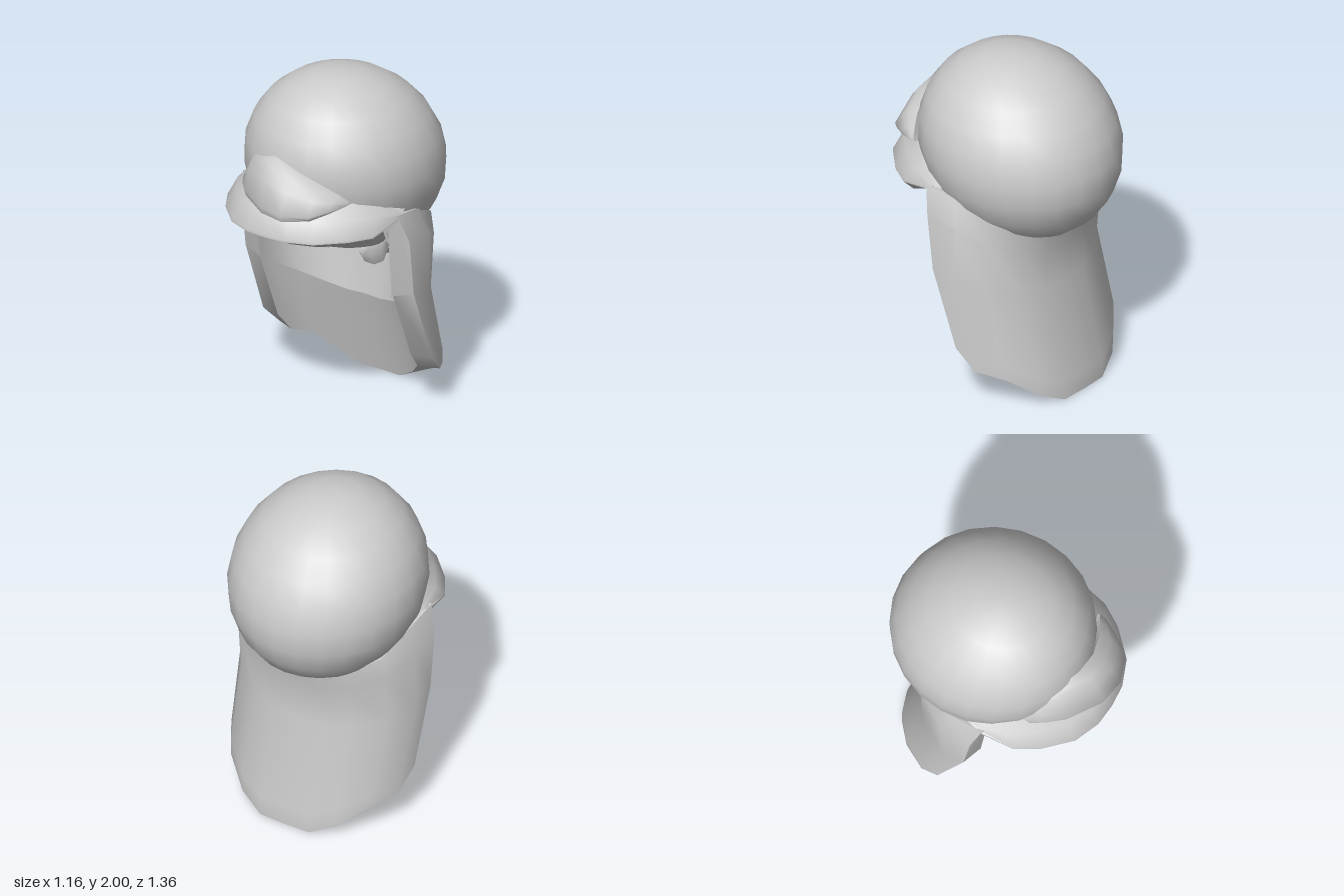
import * as THREE from 'three';
import { toCreasedNormals } from 'three/addons/utils/BufferGeometryUtils.js';

const material = new THREE.MeshStandardMaterial({ color: 0xcccccc, side: THREE.DoubleSide });

// Skin a row of closed rings, cap both ends, and wind the faces outward
function loft(name, rings, crease = 0.75) {
  const n = rings[0].length, pos = rings.flat(2), tris = [];
  for (let i = 0; i < rings.length - 1; i++) {
    for (let j = 0; j < n; j++) {
      const a = i * n + j, b = i * n + (j + 1) % n;
      tris.push([a, b, a + n], [b, b + n, a + n]);
    }
  }
  for (const i of [0, rings.length - 1]) {
    const flat = rings[i].map(p => new THREE.Vector2(p[2], p[1]));
    const flip = (i === 0) !== THREE.ShapeUtils.isClockWise(flat);
    for (const t of THREE.ShapeUtils.triangulateShape(flat, [])) {
      const [a, b, c] = t.map(k => k + i * n);
      tris.push(flip ? [a, c, b] : [a, b, c]);
    }
  }
  const v = i => new THREE.Vector3().fromArray(pos, i * 3);
  const volume = tris.reduce((s, [a, b, c]) => s + v(a).dot(v(b).cross(v(c))), 0);
  const geo = new THREE.BufferGeometry();
  geo.setAttribute('position', new THREE.Float32BufferAttribute(pos, 3));
  geo.setIndex(tris.flatMap(([a, b, c]) => volume < 0 ? [a, c, b] : [a, b, c]));
  const mesh = new THREE.Mesh(toCreasedNormals(geo, crease), material);
  mesh.name = name;
  return mesh;
}

// Half the rings run from the centre to +x; add the mirrored ones
const mirror = half => [
  ...half.slice(1).reverse().map(r => r.map(([x, y, z]) => [-x, y, z])),
  ...half,
];

// Slightly forward-leaning ellipsoid crown
function crown() {
  const lean = 0.12, rz = 0.592, ry = 0.545;
  const geo = new THREE.SphereGeometry(1, 24, 12);
  geo.applyMatrix4(new THREE.Matrix4().set(
    0.558, 0, 0, 0,
    0, ry, 0, 1.455,
    0, rz * lean, rz * Math.sqrt(1 - lean * lean), -0.09,
    0, 0, 0, 1));
  const mesh = new THREE.Mesh(geo, material);
  mesh.name = 'crown';
  return mesh;
}

// Thick neck flap: four outer levels per column, from back centre to front edge
function neckFlap() {
  const columns = [
    [[0, 1.03, -0.46], [0, 0.9, -0.43], [0, 0.66, -0.42], [0, 0, -0.56]],
    [[0.16, 1.04, -0.45], [0.16, 0.9, -0.425], [0.16, 0.66, -0.41], [0.16, 0, -0.555]],
    [[0.3, 1.07, -0.4], [0.31, 0.95, -0.38], [0.31, 0.68, -0.36], [0.31, 0.07, -0.5]],
    [[0.46, 1.16, -0.27], [0.48, 1.03, -0.27], [0.48, 0.71, -0.24], [0.46, 0.19, -0.38]],
    [[0.52, 1.27, -0.05], [0.575, 1.12, -0.09], [0.575, 0.76, -0.08], [0.55, 0.23, -0.23]],
    [[0.53, 1.3, 0.15], [0.578, 1.13, 0.1], [0.578, 0.8, 0.06], [0.578, 0.35, -0.11]],
  ];
  const thickness = [0.12, 0.12, 0.11, 0.08, 0.05, 0.03];
  return loft('neckFlap', mirror(columns.map((c, i) => {
    const t = thickness[i];
    const [hx, hy, hz] = c[3];
    const inside = (level, drop, step) => {
      const [x, y, z] = c[level];
      return [x * (0.79 - step * t), y - t * drop, z + t * (1 + step * 0.5)];
    };
    // upright hem at the bottom, and a small step in the lining at both bends
    return [c[0], c[1], c[2], [hx, hy + t, hz], c[3],
      inside(3, 0, 0), inside(2, 1.15, 0), inside(2, 1.1, 0.4),
      inside(1, 0.85, 0), inside(1, 0.6, 0.4), inside(0, 0, 0.4)];
  })));
}

// Curved visor sloping up to its seat on the crown
function visor() {
  // rim x, rim z, ridge x, ridge z, seat x, seat z, underside height, ridge height
  const columns = [
    [0, 0.68, 0, 0.63, 0, 0.46, 1.18, 1.34],
    [0.13, 0.67, 0.12, 0.62, 0.1, 0.455, 1.18, 1.34],
    [0.28, 0.61, 0.25, 0.55, 0.22, 0.41, 1.18, 1.335],
    [0.42, 0.47, 0.39, 0.41, 0.36, 0.31, 1.18, 1.33],
    [0.5, 0.34, 0.48, 0.27, 0.45, 0.19, 1.18, 1.32],
    [0.53, 0.15, 0.525, 0.1, 0.51, 0.04, 1.26, 1.3],
  ];
  return loft('visor', mirror(columns.map(([x, z, rx, rz, sx, sz, low, high]) => {
    const rim = Math.max(1.235, low + 0.02);
    return [
      [sx * 0.7, low, sz * 0.65],
      [x * 0.93, low, z * 0.88],
      [x, rim - 0.012, z],
      [x, rim, z],
      [rx, high, rz],
      [sx, 1.29 + 0.41 * sz, sz],
    ];
  })), 0.8);
}

// Lopsided crest on the visor: x, bottom, top, front z, back z
function crest() {
  const stations = [
    [-0.37, 1.38, 1.43, 0.37, 0.28],
    [-0.32, 1.375, 1.49, 0.45, 0.31],
    [-0.24, 1.365, 1.59, 0.54, 0.36],
    [-0.05, 1.35, 1.635, 0.66, 0.44],
    [0.1, 1.34, 1.585, 0.68, 0.44],
    [0.25, 1.36, 1.515, 0.62, 0.4],
    [0.32, 1.39, 1.47, 0.52, 0.38],
    [0.37, 1.415, 1.43, 0.42, 0.37],
  ];
  return loft('crest', stations.map(([x, low, top, front, back]) => {
    const h = top - low, d = front - back;
    return [
      [x, low + h * 0.15, back],
      [x, low + h * 0.03, back + d * 0.6],
      [x, low, front - d * 0.06],
      [x, low + h * 0.15, front],
      [x, low + h * 0.65, back + d * 0.76],
      [x, low + h * 0.93, back + d * 0.55],
      [x, top, back + d * 0.25],
    ];
  }), 1.1);
}

// Loose strap ends under the crown: x, y, z, half width
function strap(name, points) {
  return loft(name, points.map(([x, y, z, w]) => [
    [x, y - w, z], [x, y, z + 0.025], [x, y + w, z], [x, y, z - 0.025],
  ]), 1.1);
}

export function createModel() {
  const group = new THREE.Group();
  group.add(
    crown(), neckFlap(), visor(), crest(),
    strap('rightStrap', [
      [-0.46, 1.18, 0.13, 0.06], [-0.41, 1.12, 0.09, 0.04], [-0.31, 0.96, -0.01, 0.06],
      [-0.21, 0.89, -0.1, 0.06], [-0.15, 0.87, -0.14, 0.05], [-0.11, 0.88, -0.16, 0.03],
    ]),
    strap('leftStrap', [
      [0.46, 1.18, 0.13, 0.06], [0.43, 1.11, 0.09, 0.04], [0.32, 0.97, -0.01, 0.06],
      [0.19, 0.88, -0.1, 0.06], [0.08, 0.84, -0.16, 0.05], [0.01, 0.88, -0.18, 0.02],
    ]),
  );
  return group;
}
